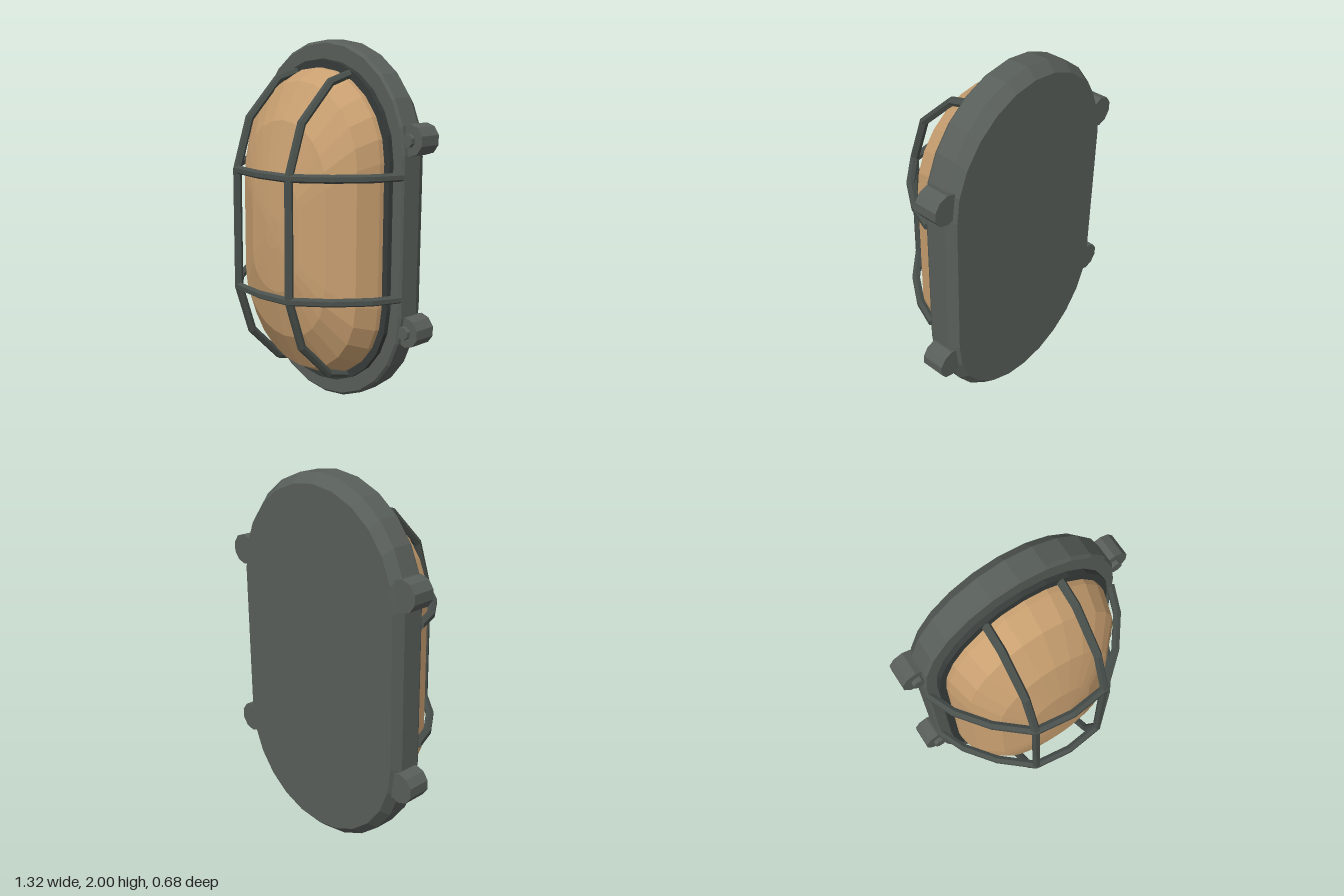
import * as THREE from 'three';

// Skin a list of rings (counter-clockwise about the direction of travel), with flat facets and end caps
function loft(rings) {
  const pos = [], n = rings[0].length;
  const tri = (...pts) => pts.forEach(p => pos.push(p.x, p.y, p.z));
  for (let i = 0; i < rings.length - 1; i++) {
    for (let j = 0; j < n; j++) {
      const k = (j + 1) % n, a = rings[i], b = rings[i + 1];
      tri(a[j], a[k], b[k]);
      tri(a[j], b[k], b[j]);
    }
  }
  const first = rings[0], last = rings[rings.length - 1];
  for (let j = 1; j < n - 1; j++) {
    tri(first[0], first[j + 1], first[j]);
    tri(last[0], last[j], last[j + 1]);
  }
  const geo = new THREE.BufferGeometry();
  geo.setAttribute('position', new THREE.Float32BufferAttribute(pos, 3));
  geo.computeVertexNormals();
  return geo;
}

// Upright stadium outline, scaled about the model's middle
function stadium(halfW, halfH, z, scale = 1) {
  const pts = [], steps = 12, straight = halfH - halfW;
  for (const side of [1, -1]) {
    for (let i = 0; i <= steps; i++) {
      const a = Math.PI * i / steps;
      pts.push(new THREE.Vector3(
        side * halfW * Math.cos(a) * scale,
        1 + side * (straight + halfW * Math.sin(a)) * scale, z));
    }
  }
  return pts;
}

// Six-sided mitred rod along a path lying in a plane with the given normal
function rod(path, normal, r) {
  const sides = 6, last = path.length - 1;
  return loft(path.map((p, i) => {
    const inDir = p.clone().sub(path[Math.max(i - 1, 0)]).normalize();
    const outDir = path[Math.min(i + 1, last)].clone().sub(p).normalize();
    const t = inDir.clone().add(outDir).normalize();
    const miter = 1 / t.dot(i === last ? inDir : outDir);
    const u = t.clone().cross(normal);
    return Array.from({ length: sides }, (_, j) => {
      const a = 2 * Math.PI * j / sides;
      return p.clone().addScaledVector(normal, r * Math.cos(a)).addScaledVector(u, r * miter * Math.sin(a));
    });
  }));
}

// Short faceted cylinder along z
function stud(r, sides, z0, z1) {
  const ring = z => Array.from({ length: sides }, (_, j) => {
    const a = 2 * Math.PI * (j + 0.5) / sides;
    return new THREE.Vector3(r * Math.cos(a), r * Math.sin(a), z);
  });
  return loft([ring(z0), ring(z1)]);
}

export function createModel() {
  const model = new THREE.Group();
  model.name = 'bulkheadLamp';
  const material = (name, color) => {
    const m = new THREE.MeshStandardMaterial({ color });
    m.name = name;
    return m;
  };
  const housingGrey = material('housingGrey', 0x585e5a);
  const cageGrey = material('cageGrey', 0x49504c);
  const gasketGrey = material('gasketGrey', 0x373c3a);
  const amber = material('amberGlass', 0xc89f70);
  const add = (name, geo, mat, parent = model) => {
    const mesh = new THREE.Mesh(geo, mat);
    mesh.name = name;
    parent.add(mesh);
  };

  // Back housing with chamfered edges
  const body = [[-0.345, 0.95], [-0.29, 1], [-0.175, 1], [-0.16, 0.985]];
  add('housing', loft(body.map(([z, s]) => stadium(0.57, 1, z, s))), housingGrey);

  // Gasket step
  add('gasket', loft([-0.19, -0.13].map(z => stadium(0.505, 0.9, z))), gasketGrey);

  // Domed glass: outlines shrink towards a flattened crown
  const dome = [[-0.15, 1], [-0.1, 1], [0.03, 0.924], [0.145, 0.69], [0.208, 0.383], [0.224, 0.1], [0.225, 0.005]];
  add('glassDome', loft(dome.map(([z, s]) => stadium(0.47, 0.855, z, s))), amber);

  // Guard cage: two upright bars and two cross bars
  const cage = new THREE.Group();
  cage.name = 'guardCage';
  model.add(cage);
  const mirrored = half => [...half, ...half.slice().reverse().filter(([d]) => d > 0).map(([d, z]) => [-d, z])];
  const upright = mirrored([[0.828, -0.14], [0.79, 0], [0.592, 0.2], [0.325, 0.288]]);
  const cross = mirrored([[0.562, -0.17], [0.5, -0.02], [0.375, 0.145], [0.207, 0.29], [0, 0.315]]);
  for (const s of [1, -1]) {
    add('uprightBar', rod(upright.map(([d, z]) => new THREE.Vector3(s * 0.207, 1 + d, z)),
      new THREE.Vector3(1, 0, 0), 0.023), cageGrey, cage);
    add('crossBar', rod(cross.map(([d, z]) => new THREE.Vector3(d, 1 + s * 0.322, z)),
      new THREE.Vector3(0, 1, 0), 0.023), cageGrey, cage);
  }

  // Four mounting lugs with screws
  for (const sx of [1, -1]) {
    for (const sy of [1, -1]) {
      const lug = new THREE.Group();
      lug.name = 'mountingLug';
      lug.position.set(sx * 0.581, 1 + sy * 0.507, 0);
      add('lug', stud(0.083, 10, -0.325, -0.195), housingGrey, lug);
      add('screw', stud(0.036, 8, -0.2, -0.17), housingGrey, lug);
      model.add(lug);
    }
  }
  return model;
}
